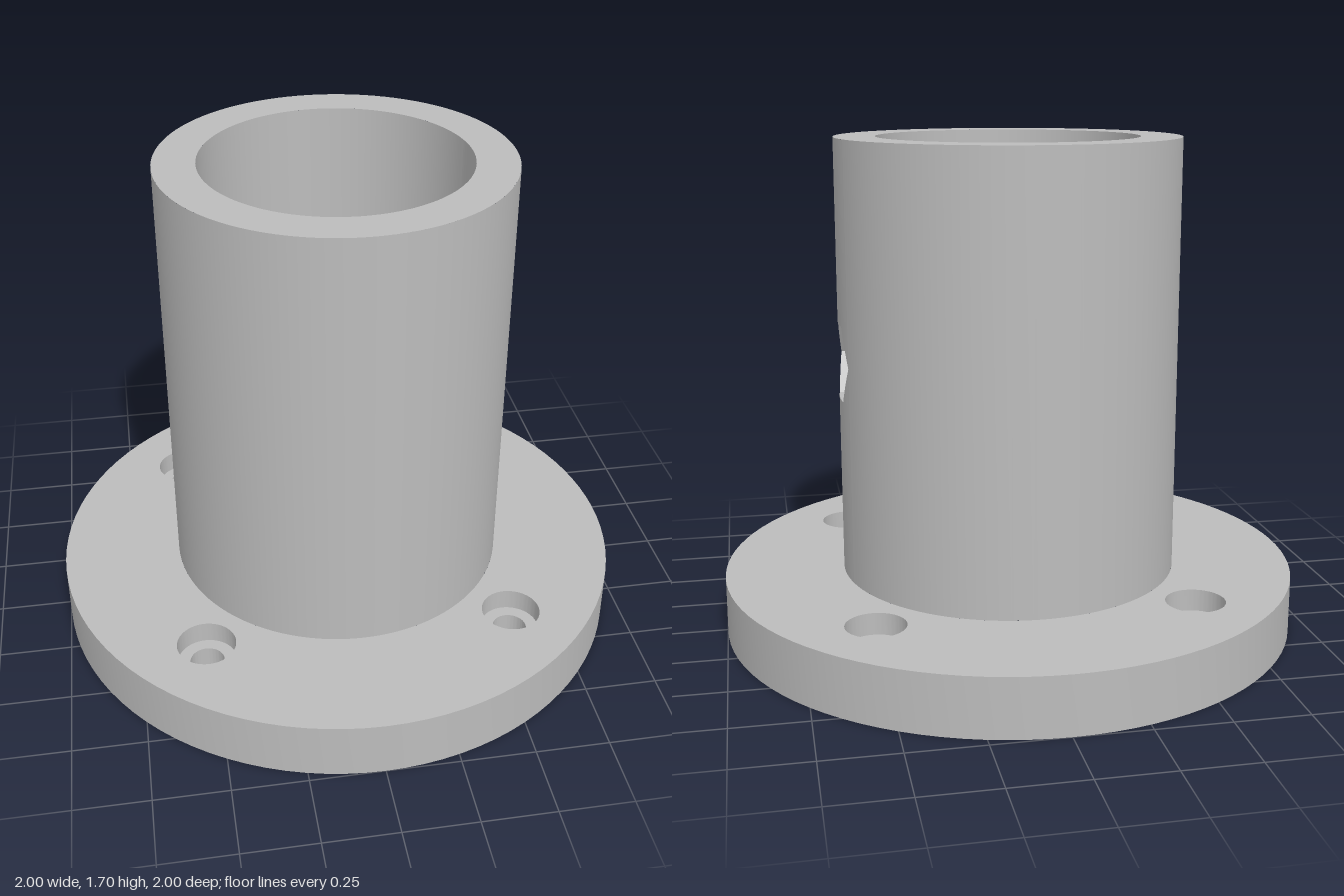
import * as THREE from 'three';
import { toCreasedNormals } from 'three/addons/utils/BufferGeometryUtils.js';

const SEG = 96;
const FLANGE_R = 1, FLANGE_H = 0.2, TOP = 1.7;
const TUBE_R = 0.587, BORE_R = 0.446, BORE_FLOOR = 0.2;
const BOLT = 0.53, BOLT_R = 0.058, HEAD_R = 0.1, HEAD_FLOOR = 0.125;
const NUT_Y = 0.95, NUT_W = 0.15, NUT_FLOOR = 0.49, SCREW_R = 0.085;
const BOLTS = [[1, 1], [1, -1], [-1, -1], [-1, 1]].map(([x, z]) => [x * BOLT, z * BOLT]);

// Strip of quads between two matching point rows
function ribbon(a, b, crease = 0.5) {
  const g = new THREE.BufferGeometry();
  const index = [];
  for (let i = 0; i < a.length - 1; i++) {
    const k = i * 2;
    index.push(k, k + 2, k + 1, k + 1, k + 2, k + 3);
  }
  g.setFromPoints(a.flatMap((p, i) => [p, b[i]]));
  g.setIndex(index);
  g.computeVertexNormals();
  return toCreasedNormals(g, crease);
}

// Flat disc with round holes, lying in the XY plane
function disc(radius, holes) {
  const s = new THREE.Shape().absarc(0, 0, radius, 0, Math.PI * 2);
  for (const [x, y, r] of holes) s.holes.push(new THREE.Path().absarc(x, y, r, 0, Math.PI * 2, true));
  return new THREE.ShapeGeometry(s, SEG / 2);
}

// Profile [r, y]: rising faces outward, falling faces inward
function lathe(profile, seg = SEG, start = 0, length = Math.PI * 2) {
  const pts = profile.map(([r, y]) => new THREE.Vector2(r, y));
  return toCreasedNormals(new THREE.LatheGeometry(pts, seg, start, length), 0.5);
}

export function createModel() {
  const model = new THREE.Group();
  const gray = new THREE.MeshStandardMaterial({ color: 0xbcbcbc });
  gray.name = 'gray';
  const add = (name, geometry, parent = model) => {
    const mesh = new THREE.Mesh(geometry, gray);
    mesh.name = name;
    parent.add(mesh);
    return mesh;
  };
  const group = (name) => {
    const g = new THREE.Group();
    g.name = name;
    model.add(g);
    return g;
  };

  // Round flange
  const flange = group('flange');
  add('flangeRim', lathe([[FLANGE_R, 0], [FLANGE_R, FLANGE_H]]), flange);
  add('flangeUnderside', disc(FLANGE_R, BOLTS.map(([x, z]) => [x, z, BOLT_R])).rotateX(Math.PI / 2), flange);
  // Stops just inside the tube, whose foot covers the edge
  const topHoles = BOLTS.map(([x, z]) => [x, z, HEAD_R]).concat([[0, 0, TUBE_R]]);
  add('flangeTop', disc(FLANGE_R, topHoles).rotateX(-Math.PI / 2).translate(0, FLANGE_H, 0), flange);

  // Counterbored bolt holes
  for (const [x, z] of BOLTS) {
    add('boltHole', lathe([[HEAD_R, FLANGE_H], [HEAD_R, HEAD_FLOOR], [BOLT_R, HEAD_FLOOR], [BOLT_R, 0]], SEG),
      flange).position.set(x, 0, z);
  }

  // Cutout outlines: z stations from front to back, half height at each
  const N = 24;
  const nut = Array.from({ length: N + 1 }, (_, i) => {
    const z = NUT_W * (1 - 2 * i / N);
    return [z, Math.sqrt(3) * Math.min(NUT_W / 2, NUT_W - Math.abs(z))];
  });
  const screw = Array.from({ length: N + 1 }, (_, i) => {
    const a = Math.PI * i / N;
    return [SCREW_R * Math.cos(a), SCREW_R * Math.sin(a)];
  });
  const onWall = (r, y, z) => new THREE.Vector3(Math.sqrt(r * r - z * z), y, z);
  // Closed loop around a cutout, at x given by a rule
  const loop = (cut, xAt) => [
    ...cut.map(([z, h]) => new THREE.Vector3(xAt(z), NUT_Y - h, z)),
    ...cut.slice(0, -1).reverse().map(([z, h]) => new THREE.Vector3(xAt(z), NUT_Y + h, z)),
  ];

  // Cylinder wall with a cutout on the left (+x) side
  const tube = group('tube');
  function wall(name, r, y0, y1, cut, inward) {
    const half = Math.asin(cut[0][0] / r);
    const profile = inward ? [[r, y1], [r, y0]] : [[r, y0], [r, y1]];
    add(name, lathe(profile, SEG, Math.PI / 2 + half, 2 * Math.PI - 2 * half), tube);
    const row = (f) => cut.map(([z, h]) => onWall(r, f(h), z));
    const strips = [
      [row(() => y0), row((h) => NUT_Y - h)],
      [row((h) => NUT_Y + h), row(() => y1)],
    ];
    for (const [low, high] of strips) {
      add(name + 'Patch', inward ? ribbon(high, low) : ribbon(low, high), tube);
    }
  }
  wall('tubeOuterWall', TUBE_R, FLANGE_H, TOP, nut, false);
  wall('boreWall', BORE_R, BORE_FLOOR, TOP, screw, true);
  add('tubeRim', new THREE.RingGeometry(BORE_R, TUBE_R, SEG).rotateX(-Math.PI / 2).translate(0, TOP, 0), tube);
  add('boreFloor', disc(BORE_R, []).rotateX(-Math.PI / 2).translate(0, BORE_FLOOR, 0), tube);

  // Hexagonal nut pocket with a screw hole into the bore
  const pocket = group('nutPocket');
  const wallX = (r) => (z) => Math.sqrt(r * r - z * z);
  const floorX = () => NUT_FLOOR;
  add('pocketSides', ribbon(loop(nut, wallX(TUBE_R)), loop(nut, floorX)), pocket);
  add('screwHole', ribbon(loop(screw, floorX), loop(screw, wallX(BORE_R))), pocket);
  const hex = new THREE.Shape(Array.from({ length: 6 }, (_, i) =>
    new THREE.Vector2(NUT_W * Math.cos(i * Math.PI / 3), NUT_W * Math.sin(i * Math.PI / 3))));
  hex.holes.push(new THREE.Path().absarc(0, 0, SCREW_R, 0, Math.PI * 2, true));
  add('pocketFloor', new THREE.ShapeGeometry(hex, N).rotateY(Math.PI / 2).translate(NUT_FLOOR, NUT_Y, 0), pocket);

  return model;
}
